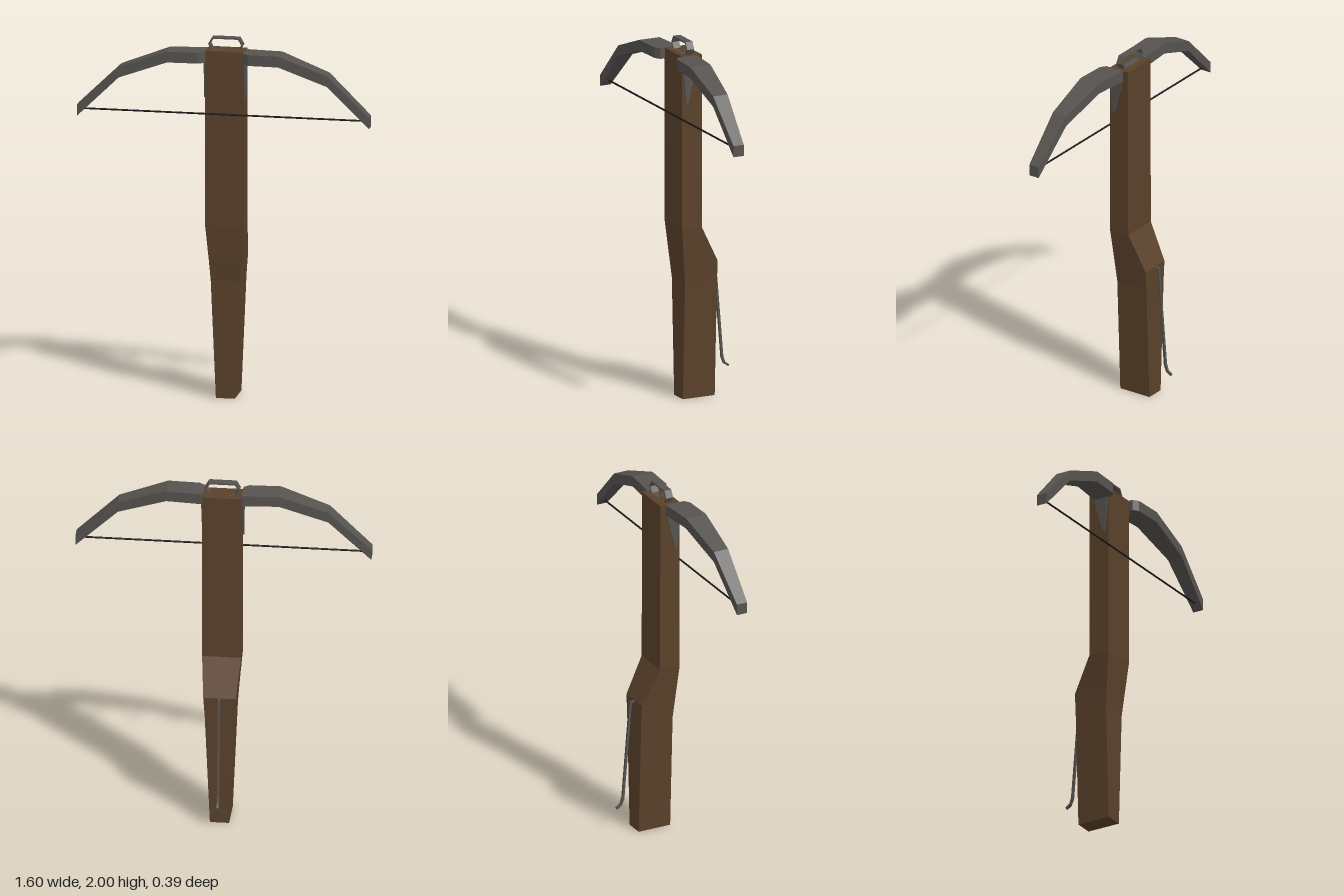
import * as THREE from 'three';

// Flat-faced loft through rings of equal corner count, capped at both ends.
// Rings run counter-clockwise as seen from the far end of the loft.
function loft(rings, flip = false) {
  const pos = [];
  const tri = (a, b, c) => (flip ? [a, c, b] : [a, b, c]).forEach(p => pos.push(...p));
  const n = rings[0].length;
  for (let i = 0; i < rings.length - 1; i++) {
    for (let j = 0; j < n; j++) {
      const k = (j + 1) % n, lo = rings[i], hi = rings[i + 1];
      tri(lo[j], lo[k], hi[k]);
      tri(lo[j], hi[k], hi[j]);
    }
  }
  const first = rings[0], last = rings[rings.length - 1];
  for (let j = 1; j < n - 1; j++) {
    tri(first[0], first[j + 1], first[j]);
    tri(last[0], last[j], last[j + 1]);
  }
  const g = new THREE.BufferGeometry();
  g.setAttribute('position', new THREE.Float32BufferAttribute(pos, 3));
  g.computeVertexNormals();
  return g;
}

export function createModel() {
  const model = new THREE.Group();
  model.name = 'crossbow';
  const material = (name, color) => {
    const m = new THREE.MeshStandardMaterial({ color });
    m.name = name;
    return m;
  };
  const wood = material('brown wood', 0x5a412a);
  const steel = material('dark steel', 0x56534f);
  const cord = material('black cord', 0x1a1a1a);
  const add = (name, geometry, mat) => {
    const mesh = new THREE.Mesh(geometry, mat);
    mesh.name = name;
    model.add(mesh);
    return mesh;
  };

  // Stock: y, half width, back z, front z
  const stock = [
    [0, 0.052, -0.082, 0.11],
    [0.65, 0.08, -0.082, 0.11],
    [0.76, 0.088, -0.082, 0.121],
    [0.96, 0.105, 0.02, 0.14],
    [1.93, 0.105, 0.022, 0.14],
  ];
  add('stock', loft(stock.map(([y, w, b, f]) =>
    [[-w, y, f], [w, y, f], [w, y, b], [-w, y, b]])), wood);

  // Bow limbs: x, bottom y, top y, back z, front z
  const limb = [
    [0.104, 1.87, 1.93, 0.055, 0.165],
    [0.135, 1.87, 1.93, 0.058, 0.187],
    [0.305, 1.87, 1.93, 0.071, 0.193],
    [0.57, 1.773, 1.832, 0.1, 0.187],
    [0.8, 1.548, 1.61, 0.118, 0.18],
  ];
  // Tapered cheek plates below the limb roots: corners as z, y
  const cheek = [[0.12, 1.67], [0.108, 1.67], [0.055, 1.87], [0.055, 1.929], [0.139, 1.929], [0.139, 1.87]];
  for (const s of [1, -1]) {
    const side = s > 0 ? 'left' : 'right';
    add(side + 'Limb', loft(limb.map(([x, lo, hi, b, f]) =>
      [[s * x, lo, f], [s * x, lo, b], [s * x, hi, b], [s * x, hi, f]]), s < 0), steel);
    add(side + 'CheekPlate', loft([0.1, 0.114].map(x =>
      cheek.map(([z, y]) => [s * x, y, z])), s < 0), steel);
  }

  // Bowstring
  const string = add('bowstring', new THREE.CylinderGeometry(0.005, 0.005, 1.54, 6), cord);
  string.rotation.z = Math.PI / 2;
  string.position.set(0, 1.584, 0.147);

  // Foot stirrup: a bent flat strip
  const hexagon = (half, bend, mid, lo, hi) => [
    [-bend, lo], [bend, lo], [half, mid], [bend, hi], [-bend, hi], [-half, mid],
  ].map(([x, y]) => new THREE.Vector2(x, y));
  const loop = new THREE.Shape(hexagon(0.096, 0.074, 1.962, 1.922, 2));
  loop.holes.push(new THREE.Path(hexagon(0.085, 0.068, 1.962, 1.93, 1.991)));
  const stirrup = add('footStirrup',
    new THREE.ExtrudeGeometry(loop, { depth: 0.042, bevelEnabled: false }), steel);
  stirrup.position.z = 0.063;

  // Trigger lever: side outline as z, y, extruded across x
  const lever = new THREE.Shape([
    [-0.07, 0.759], [-0.111, 0.759], [-0.157, 0.2], [-0.168, 0.164], [-0.193, 0.147],
    [-0.188, 0.136], [-0.16, 0.154], [-0.145, 0.19], [-0.099, 0.748], [-0.07, 0.748],
  ].map(([z, y]) => new THREE.Vector2(-z, y)));
  const trigger = add('triggerLever',
    new THREE.ExtrudeGeometry(lever, { depth: 0.013, bevelEnabled: false }), steel);
  trigger.rotation.y = Math.PI / 2;
  trigger.position.x = -0.0065;

  return model;
}
